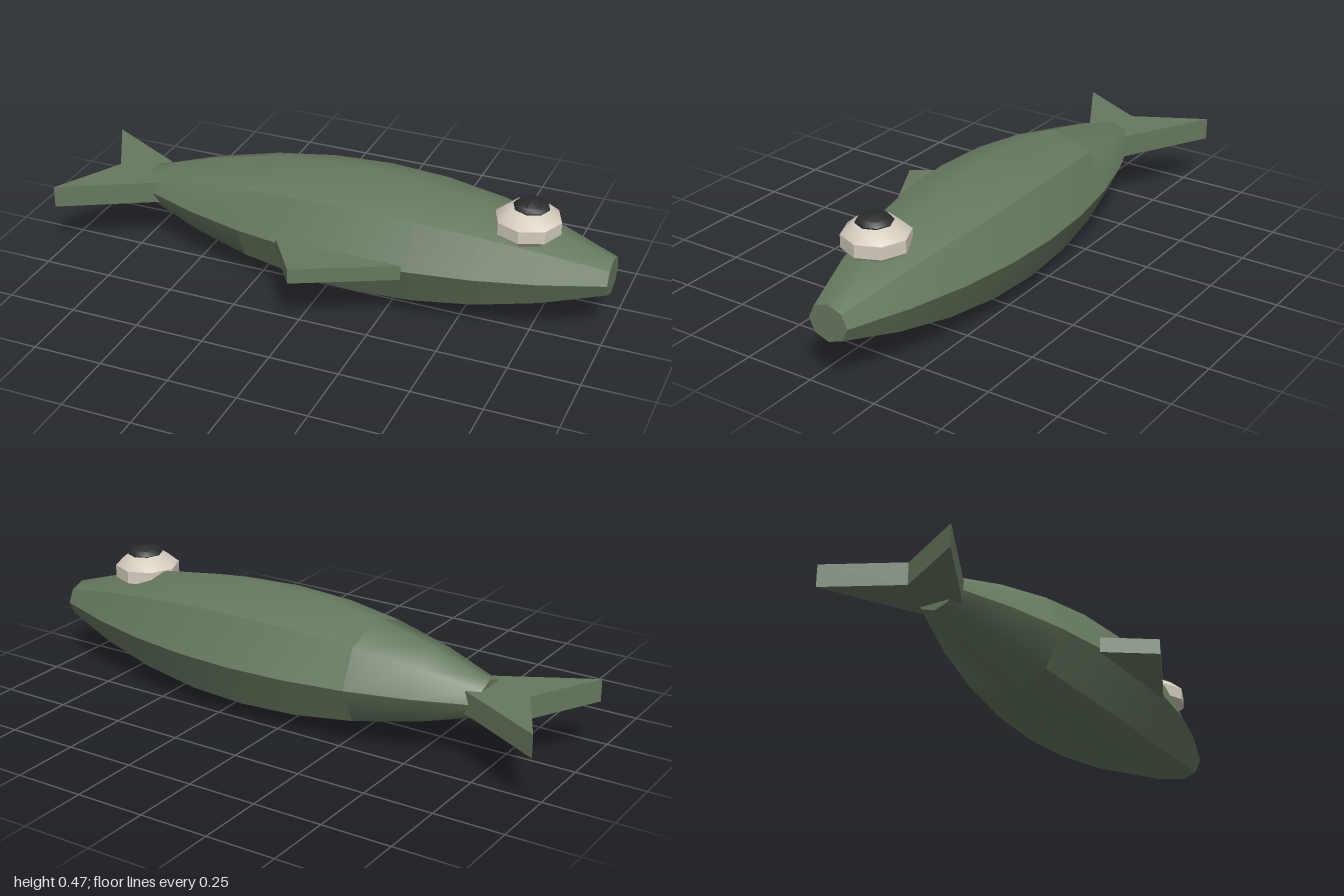
import * as THREE from 'three';
import { toCreasedNormals } from 'three/addons/utils/BufferGeometryUtils.js';

const skin = new THREE.MeshStandardMaterial({ name: 'green skin', color: 0x66785f });
const cream = new THREE.MeshStandardMaterial({ name: 'eye cream', color: 0xd3ccbe });
const black = new THREE.MeshStandardMaterial({ name: 'pupil black', color: 0x2b2d2d });

const rad = THREE.MathUtils.degToRad;
const AXIS_Y = 0.229, AXIS_Z = -0.083;

export function createModel() {
  const fish = new THREE.Group();
  fish.name = 'fish';

  const add = (name, geometry, material, x = 0, y = 0, z = 0) => {
    const mesh = new THREE.Mesh(geometry, material);
    mesh.name = name;
    mesh.position.set(x, y, z);
    fish.add(mesh);
    return mesh;
  };

  // Eight-sided spindle lying along x, with a parabolic outline
  const ring = (i) => {
    const t = i / 4 - 1;
    return new THREE.Vector2(0.227 - 0.162 * t * t, 0.86 * t);
  };
  const spindle = (from, to, crease) => {
    const points = [];
    for (let i = from; i <= to; i++) points.push(ring(i));
    if (from === 0) points.unshift(new THREE.Vector2(0, -0.86));
    if (to === 8) points.push(new THREE.Vector2(0, 0.86));
    const g = new THREE.LatheGeometry(points, 8);
    g.rotateZ(-Math.PI / 2);
    g.scale(1, 1, 0.26 / 0.227);
    return toCreasedNormals(g, rad(crease));
  };
  add('bodyRear', spindle(0, 2, 46), skin, 0.14, AXIS_Y, AXIS_Z);
  add('bodyFront', spindle(2, 8, 41.5), skin, 0.14, AXIS_Y, AXIS_Z);

  // Flat fins, outlined in x and z and extruded downwards from top
  const fin = (name, outline, top, depth) => {
    const shape = new THREE.Shape(outline.map(([x, z]) => new THREE.Vector2(x, z)));
    const g = new THREE.ExtrudeGeometry(shape, { depth, bevelEnabled: false });
    g.rotateX(Math.PI / 2);
    add(name, g, skin, 0, top, 0);
  };
  fin('tailFin', [[-1, -0.337], [-0.53, AXIS_Z], [-1, 0.171], [-0.865, AXIS_Z]], 0.27, 0.08);
  fin('sideFin', [[-0.118, 0.176], [0.34, 0.176], [0, 0.345]], 0.257, 0.055);

  // Bulging eye, a squashed low-poly ball
  const ball = new THREE.SphereGeometry(0.121, 8, 5);
  ball.scale(1, 0.6, 1);
  add('eye', toCreasedNormals(ball, rad(42)), cream, 0.707, 0.388, -0.05);

  // Domed pupil on top of the eye
  const dome = new THREE.LatheGeometry(
    [[0.055, 0.43], [0.063, 0.452], [0.05, 0.467], [0, 0.476]].map(([r, y]) => new THREE.Vector2(r, y)), 8);
  add('pupil', toCreasedNormals(dome, rad(42)), black, 0.715, 0, -0.05);

  return fish;
}
